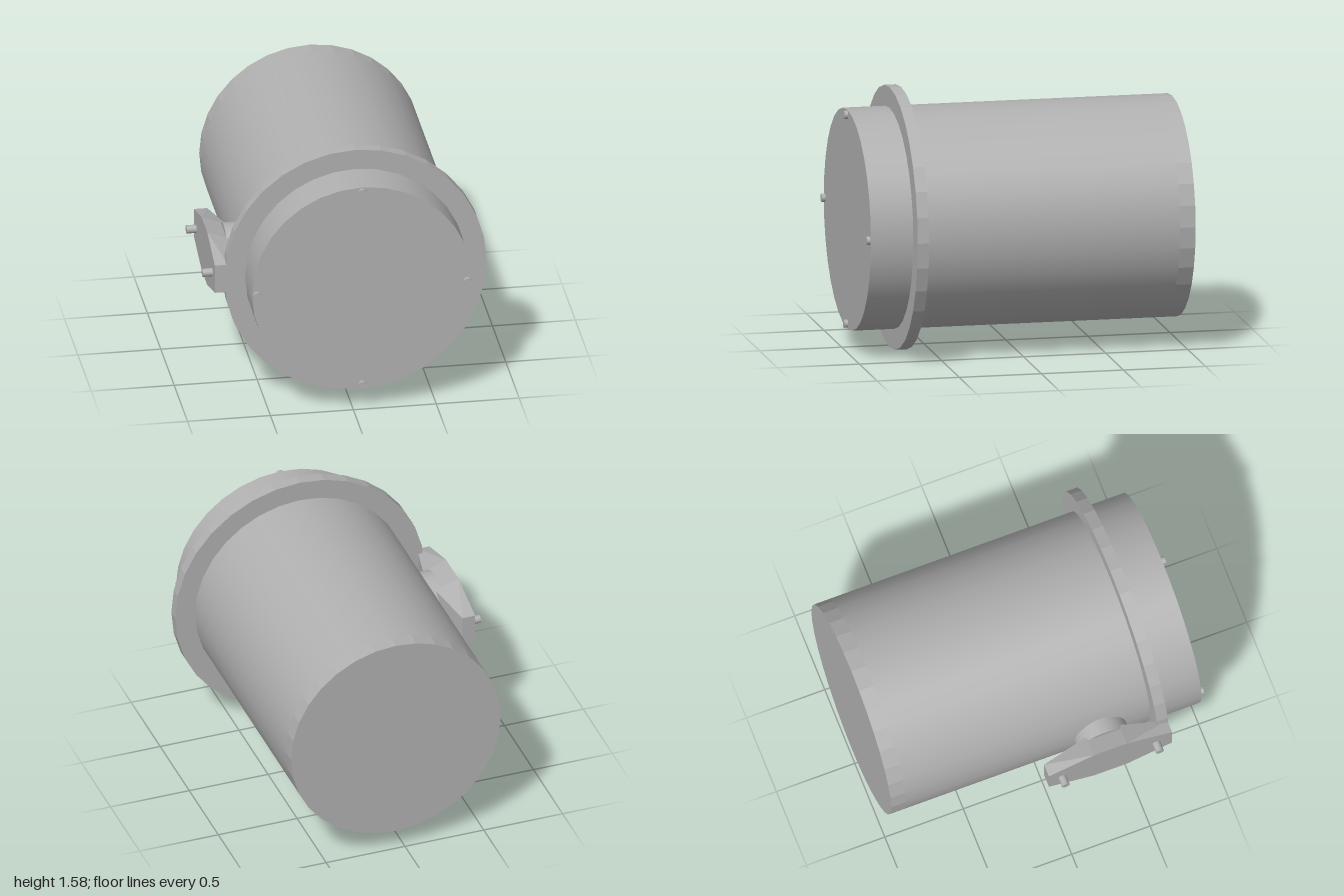
import * as THREE from 'three';
import { ConvexGeometry } from 'three/addons/geometries/ConvexGeometry.js';

const CX = 0.058, CY = 0.79; // main axis, running along z

export function createModel() {
  const model = new THREE.Group();
  model.name = 'flangedCanister';
  const grey = new THREE.MeshStandardMaterial({ color: 0xb0b0b0 });
  grey.name = 'grey metal';

  const add = (name, geometry) => {
    const mesh = new THREE.Mesh(geometry, grey);
    mesh.name = name;
    model.add(mesh);
  };
  // Cylinder along z, from z0 to z1
  const alongZ = (name, r, z0, z1, x, y, sides, flat, open = false) => {
    let g = new THREE.CylinderGeometry(r, r, z1 - z0, sides, 1, open).rotateX(Math.PI / 2);
    g.translate(x, y, (z0 + z1) / 2);
    if (flat) {
      g = g.toNonIndexed();
      g.computeVertexNormals();
    }
    add(name, g);
  };
  // Cylinder along x, from x0 to x1
  const alongX = (name, r, x0, x1, z, sides) => {
    const g = new THREE.CylinderGeometry(r, r, x1 - x0, sides).rotateZ(Math.PI / 2);
    add(name, g.translate((x0 + x1) / 2, CY, z));
  };

  // Smooth barrel with a faceted band at the back
  alongZ('barrel', 0.665, -0.905, 0.978, CX, CY, 32, false);
  alongZ('backBand', 0.665, -1, -0.905, CX, CY, 32, true);

  // Faceted flange ring
  alongZ('flange', 0.79, 0.65, 0.72, CX, CY, 32, true);

  // Four small pins on the front face
  for (let i = 0; i < 4; i++) {
    const a = (i * Math.PI) / 2;
    alongZ('frontPin', 0.025, 0.95, 1, CX + 0.635 * Math.cos(a), CY + 0.635 * Math.sin(a), 16, false);
  }

  // Side bracket: [z, outer half height, inner half height, inner x]
  const sections = [
    [-0.065, 0.09, 0.09, -0.71],
    [0.225, 0.175, 0.12, -0.645],
    [0.435, 0.175, 0.12, -0.645],
    [0.72, 0.09, 0.09, -0.71],
  ];
  const points = [];
  for (const [z, outer, inner, x] of sections) {
    for (const s of [-1, 1]) {
      points.push(new THREE.Vector3(-0.79, CY + s * outer, z));
      points.push(new THREE.Vector3(x, CY + s * inner, z));
    }
  }
  add('bracketPlate', new ConvexGeometry(points));

  // Hub joining the bracket to the barrel, and the two bracket pins
  alongX('bracketHub', 0.165, -0.675, -0.56, 0.333, 32);
  for (const z of [0.02, 0.62]) alongX('bracketPin', 0.025, -0.85, -0.76, z, 16);

  return model;
}
